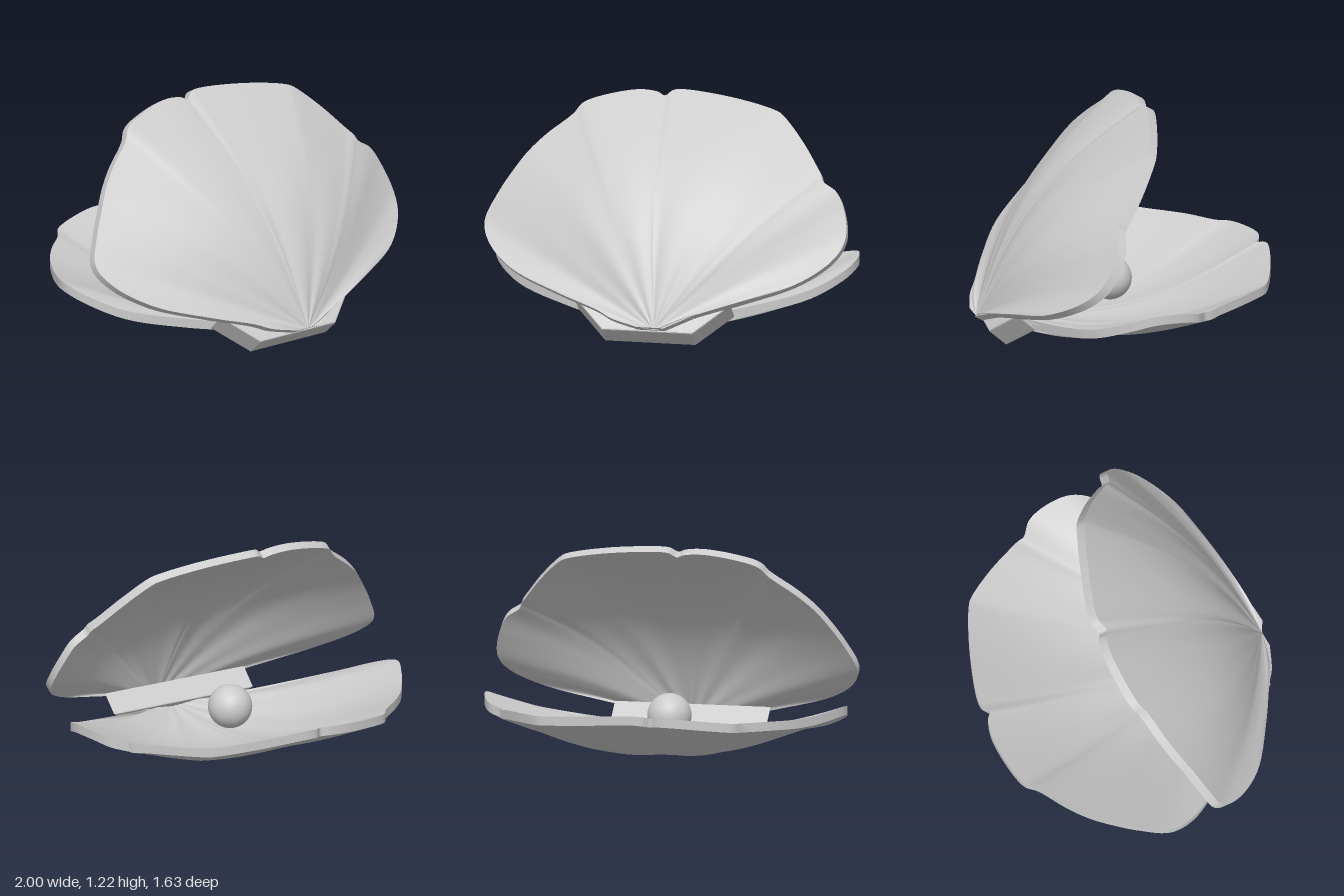
import * as THREE from 'three';
import { mergeGeometries } from 'three/addons/utils/BufferGeometryUtils.js';

const material = new THREE.MeshStandardMaterial({ color: 0xcccccc });

// Rim of one valve: x, distance from hinge, height of the inner edge
const side = [[0.19, 0.01, 0.12], [0.27, 0.055, 0.135], [0.5, 0.15, 0.175], [0.8, 0.3, 0.245], [0.96, 0.47, 0.325], [1, 0.6, 0.365]];
const rim = [
  [0.11, -0.035, 0.11], ...side,
  [0.975, 0.75, 0.365], [0.925, 0.85, 0.345], [0.85, 0.9, 0.325], [0.835, 0.935, 0.325], [0.8, 0.99, 0.335],
  [0.7, 1.135, 0.35], [0.58, 1.27, 0.36], [0.54, 1.295, 0.362], [0.3, 1.36, 0.38], [0, 1.4, 0.4],
  [-0.05, 1.39, 0.395], [-0.09, 1.355, 0.385], [-0.13, 1.375, 0.39], [-0.22, 1.385, 0.39], [-0.35, 1.36, 0.38],
  [-0.5, 1.305, 0.365], [-0.54, 1.275, 0.36], [-0.575, 1.22, 0.355], [-0.71, 1.095, 0.35], [-0.8, 0.99, 0.345],
  [-0.87, 0.88, 0.345], [-0.94, 0.755, 0.355],
  ...side.map(([x, q, h]) => [-x, q, h]).reverse(), [-0.04, -0.035, 0.11],
].map((p) => new THREE.Vector3(...p));
const apex = new THREE.Vector3(0.05, -0.04, 0.115);
const grooves = [-0.81, -0.47, -0.1, 0.38, 0.73];
const N = 200, M = 28;
const rimPoints = new THREE.CatmullRomCurve3(rim, false, 'centripetal').getPoints(N);

// Point of the bowl-shaped surface; v runs from hinge to rim
function shellPoint(i, v, inner) {
  const r = rimPoints[i];
  const p = apex.clone().lerp(r, v);
  const angle = Math.atan2(r.x - apex.x, Math.max(r.y, 0));
  const bowl = Math.sin(Math.PI * v);
  p.z -= 0.153 * bowl * Math.pow(Math.max(Math.cos(angle), 0), 1.5);
  for (const g of grooves) {
    p.z += 0.009 * Math.sin(Math.PI * Math.pow(v, 0.6)) * Math.exp(-(((angle - g) / 0.12) ** 2));
  }
  if (!inner) p.z -= 0.03 + 0.02 * v;
  return p;
}

// Grid surface of (rows + 1) x (cols + 1) points, optionally turned over
function surface(cols, rows, pointAt, flip) {
  const pos = [], index = [];
  for (let j = 0; j <= rows; j++) {
    for (let i = 0; i <= cols; i++) pos.push(...pointAt(i, j).toArray());
  }
  for (let j = 0; j < rows; j++) {
    for (let i = 0; i < cols; i++) {
      const a = j * (cols + 1) + i, b = a + 1, c = a + cols + 1, d = c + 1;
      if (flip) index.push(a, c, b, b, c, d);
      else index.push(a, b, c, b, d, c);
    }
  }
  const g = new THREE.BufferGeometry();
  g.setAttribute('position', new THREE.Float32BufferAttribute(pos, 3));
  g.setIndex(index);
  g.computeVertexNormals();
  return g;
}

// One valve: outer skin, inner skin and rim wall
function makeShell(name, place, mirrored) {
  const at = (i, v, inner) => place(shellPoint(i, v, inner));
  const outer = surface(N, M, (i, j) => at(i, j / M, false), mirrored);
  const inner = surface(N, M, (i, j) => at(i, j / M, true), !mirrored);
  const wall = surface(N + 1, 1, (i, j) => at(i % (N + 1), 1, j === 1), mirrored);
  const mesh = new THREE.Mesh(mergeGeometries([outer, inner, wall]), material);
  mesh.name = name;
  return mesh;
}

export function createModel() {
  const group = new THREE.Group();
  group.name = 'clam';

  group.add(makeShell('lowerShell', (p) => new THREE.Vector3(p.x, p.z, 0.6 - p.y), false));

  // Upper valve: the same shape mirrored and swung open
  const A = THREE.MathUtils.degToRad(60.2), c = Math.cos(A), s = Math.sin(A);
  group.add(makeShell('upperShell', (p) => {
    const h = p.z - 0.11;
    return new THREE.Vector3(p.x, 0.127 + p.y * s - h * c, 0.773 - p.y * c - h * s);
  }, true));

  // Tapered hinge block, tilted back
  const b = 0.008, H = 0.095 - b;
  const shape = new THREE.Shape();
  shape.moveTo(-0.25 + b, -H);
  shape.lineTo(0.26 - b, -H);
  shape.lineTo(0.44 - b, H);
  shape.lineTo(-0.42 + b, H);
  shape.closePath();
  const depth = 0.135 - 2 * b;
  const geo = new THREE.ExtrudeGeometry(shape, { depth, bevelEnabled: true, bevelSize: b, bevelThickness: b, bevelSegments: 2 });
  geo.translate(0, 0, -depth / 2);
  const hinge = new THREE.Mesh(geo, material);
  hinge.name = 'hinge';
  hinge.rotation.x = -0.727;
  hinge.position.set(0, 0.114, 0.67);
  group.add(hinge);

  const pearl = new THREE.Mesh(new THREE.SphereGeometry(0.12, 40, 28), material);
  pearl.name = 'pearl';
  pearl.position.set(0, 0.262, 0.07);
  group.add(pearl);

  return group;
}
